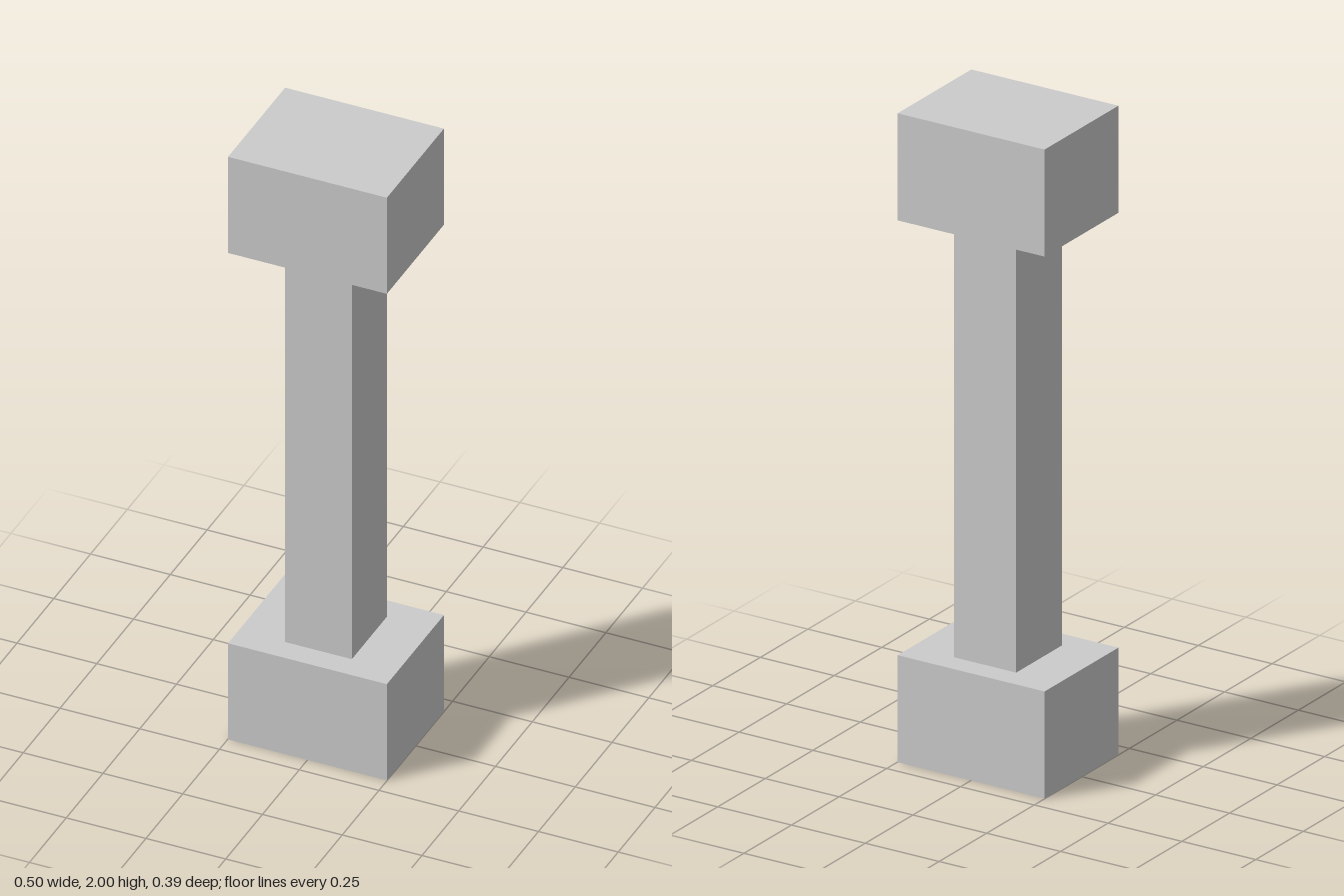
import * as THREE from 'three';

export function createModel() {
  const group = new THREE.Group();
  const material = new THREE.MeshStandardMaterial({ color: 0xcccccc, flatShading: true });
  const blockHeight = 0.33;

  // Adds a box standing on height y
  function addBox(name, width, height, depth, y) {
    const mesh = new THREE.Mesh(new THREE.BoxGeometry(width, height, depth), material);
    mesh.name = name;
    mesh.position.y = y + height / 2;
    group.add(mesh);
  }

  // Matching end blocks joined by a slim rectangular shaft
  addBox('base', 0.498, blockHeight, 0.388, 0);
  addBox('shaft', 0.21, 2 - 2 * blockHeight, 0.24, blockHeight);
  addBox('capital', 0.498, blockHeight, 0.388, 2 - blockHeight);

  return group;
}
